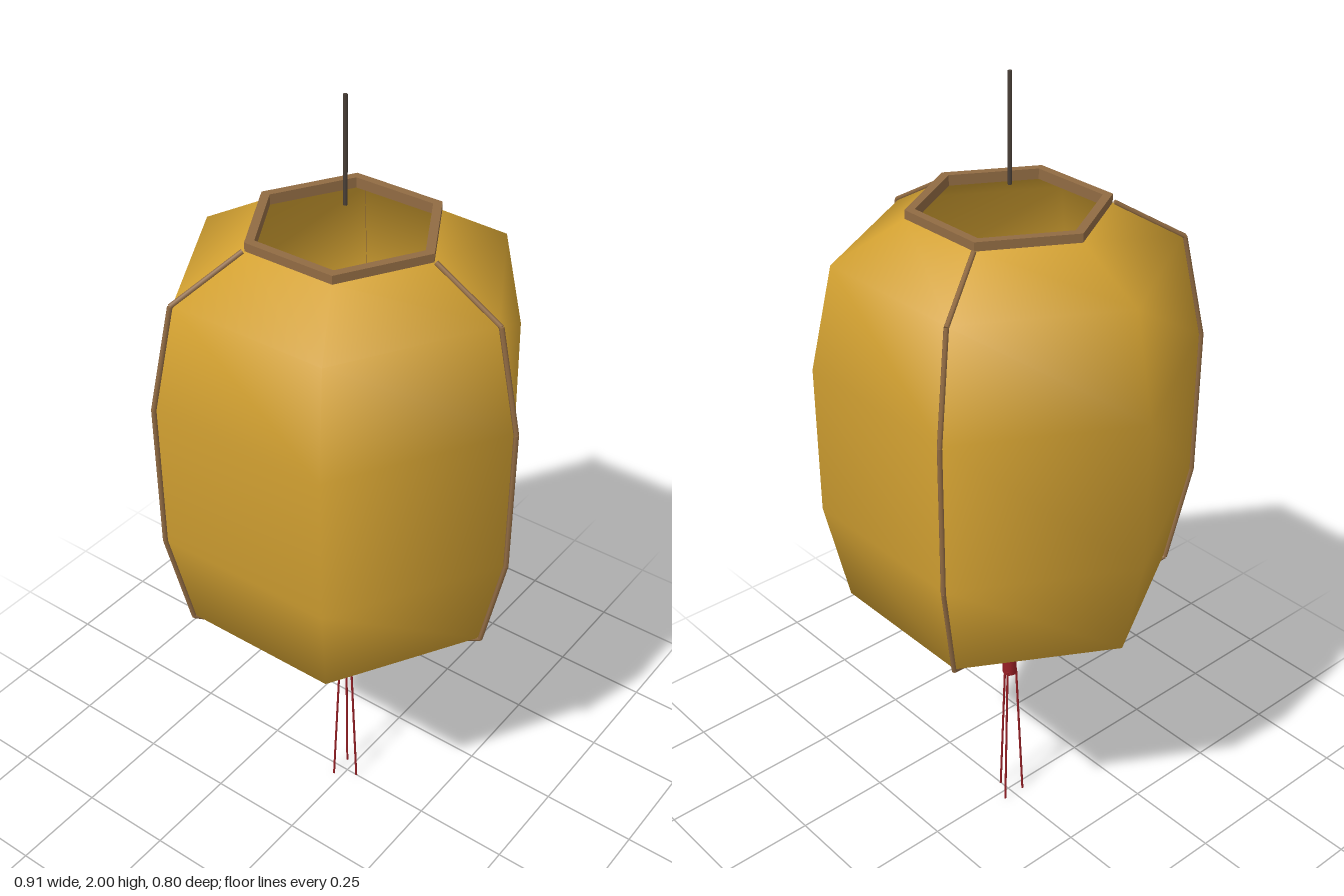
import * as THREE from 'three';

function material(name, color, extra = {}) {
  return new THREE.MeshStandardMaterial({ name, color, ...extra });
}

export function createModel() {
  const paper = material('amber paper', 0xd4a232, { side: THREE.DoubleSide });
  const wood = material('wood', 0x916b43);
  const cream = material('cream', 0xe6d2ac, { flatShading: true });
  const red = material('red', 0x9a2026);
  const dark = material('dark wire', 0x4a4038);

  const lantern = new THREE.Group();
  lantern.name = 'lantern';
  lantern.position.x = -0.0055;

  function add(name, geometry, mat, parent = lantern) {
    const mesh = new THREE.Mesh(geometry, mat);
    mesh.name = name;
    parent.add(mesh);
    return mesh;
  }

  // Thin rod between two points
  function rod(name, a, b, radius, mat, parent, sides = 6) {
    const dir = b.clone().sub(a);
    const mesh = add(name, new THREE.CylinderGeometry(radius, radius, dir.length(), sides), mat, parent);
    mesh.position.copy(a).add(b).multiplyScalar(0.5);
    mesh.quaternion.setFromUnitVectors(new THREE.Vector3(0, 1, 0), dir.normalize());
  }

  // Six-sided paper shade, open at both ends
  const profile = [
    [0.23, 0.63], [0.397, 0.72], [0.4515, 0.975],
    [0.4515, 1.345], [0.397, 1.595], [0.23, 1.69],
  ].map(([r, y]) => new THREE.Vector2(r, y));
  add('shade', new THREE.LatheGeometry(profile, 6, Math.PI / 2), paper);

  // Hexagonal frames around the openings
  function hexagon(PathType, r) {
    const path = new PathType();
    path.setFromPoints(Array.from({ length: 6 }, (_, i) =>
      new THREE.Vector2(r * Math.cos(i * Math.PI / 3), r * Math.sin(i * Math.PI / 3))));
    path.closePath();
    return path;
  }
  const frameShape = hexagon(THREE.Shape, 0.231);
  frameShape.holes.push(hexagon(THREE.Path, 0.208));
  const frame = new THREE.ExtrudeGeometry(frameShape, { depth: 0.025, bevelEnabled: false });
  frame.rotateX(-Math.PI / 2);
  add('bottomFrame', frame, wood).position.y = 0.61;
  add('topFrame', frame, wood).position.y = 1.685;

  // Three ribs on alternate corners, and three tassel strings on the same angles
  const tassel = new THREE.Group();
  tassel.name = 'tassel';
  lantern.add(tassel);
  for (let i = 0; i < 3; i++) {
    const angle = i * Math.PI * 2 / 3;
    const at = (r, y) => new THREE.Vector3(r * Math.cos(angle), y, r * Math.sin(angle));
    const rib = new THREE.Group();
    rib.name = 'rib';
    lantern.add(rib);
    for (let j = 0; j < profile.length - 1; j++) {
      const p = profile[j], q = profile[j + 1];
      rod('ribSegment', at(p.x + 0.005, p.y), at(q.x + 0.005, q.y), 0.006, wood, rib);
    }
    rod('tasselString', at(0.017, 0.42), at(0.036, 0), 0.003, red, tassel, 5);
  }

  // Tassel knot
  add('tasselKnot', new THREE.CylinderGeometry(0.018, 0.018, 0.19, 8), red, tassel).position.y = 0.505;

  // Faceted bulb inside
  const bulb = add('bulb', new THREE.SphereGeometry(0.108, 6, 4), cream);
  bulb.rotation.y = Math.PI / 6;
  bulb.position.y = 1.16;

  // Hanging wire
  rod('hangingWire', new THREE.Vector3(0, 1.75, 0), new THREE.Vector3(0, 2, 0), 0.005, dark, lantern);

  const model = new THREE.Group();
  model.name = 'hangingLantern';
  model.add(lantern);
  return model;
}
